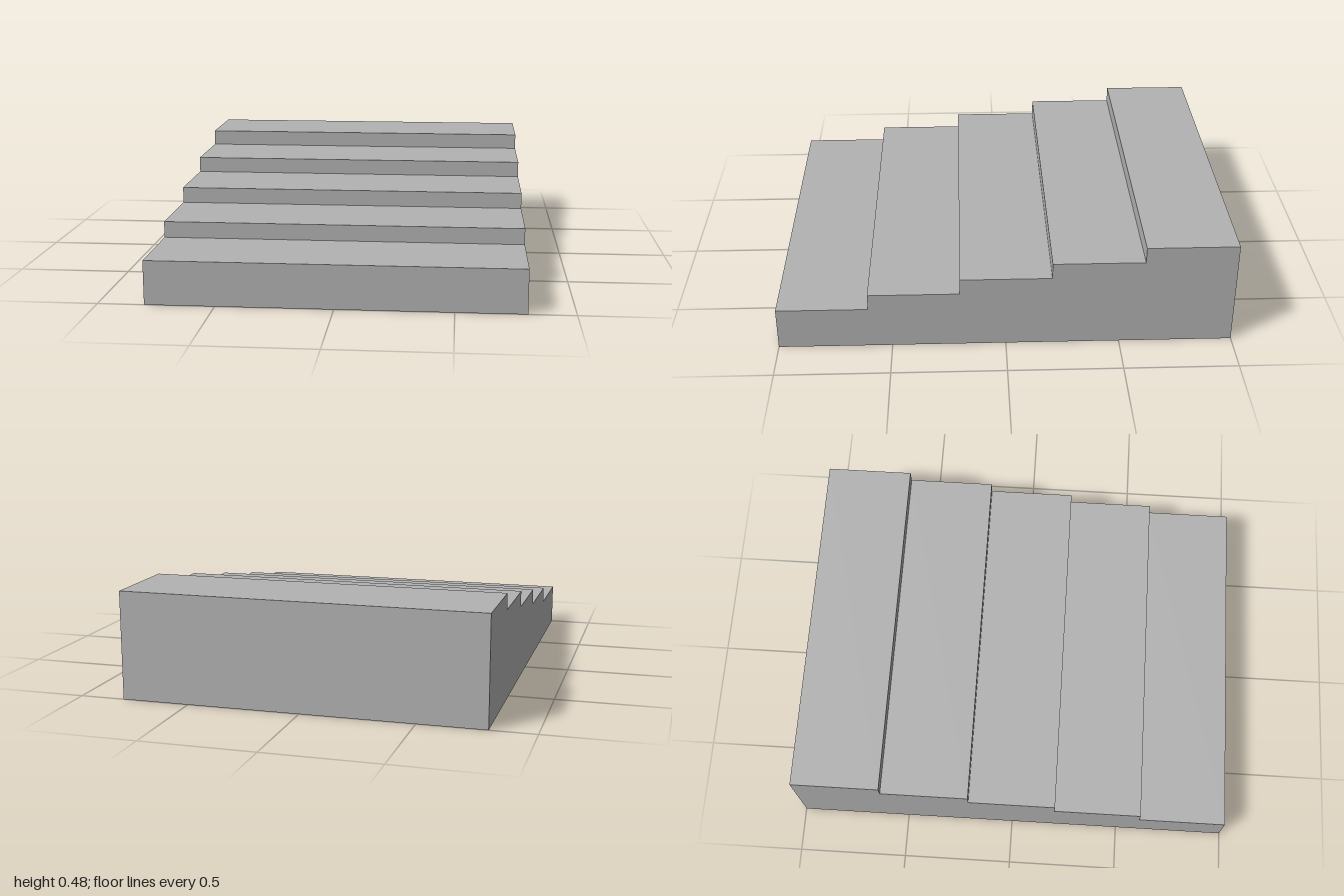
import * as THREE from 'three';

export function createModel() {
  const group = new THREE.Group();
  group.name = 'stairs';
  const stone = new THREE.MeshStandardMaterial({ color: 0xb2b2b2 });
  stone.name = 'grey stone';

  const steps = 5, width = 1.6, depth = 0.4;
  const firstHeight = 0.192, rise = 0.072;

  // Side profile: front edge at +1, one riser and one tread per step
  const profile = new THREE.Shape();
  profile.moveTo(-1, 0);
  profile.lineTo(1, 0);
  for (let i = 0; i < steps; i++) {
    const y = firstHeight + i * rise;
    profile.lineTo(1 - i * depth, y);
    profile.lineTo(1 - (i + 1) * depth, y);
  }
  profile.closePath();

  // Extrude across the width, then turn the profile to run along z
  const geometry = new THREE.ExtrudeGeometry(profile, { depth: width, bevelEnabled: false });
  geometry.translate(0, 0, -width / 2);
  geometry.rotateY(-Math.PI / 2);

  const flight = new THREE.Mesh(geometry, stone);
  flight.name = 'stepFlight';
  group.add(flight);
  return group;
}
